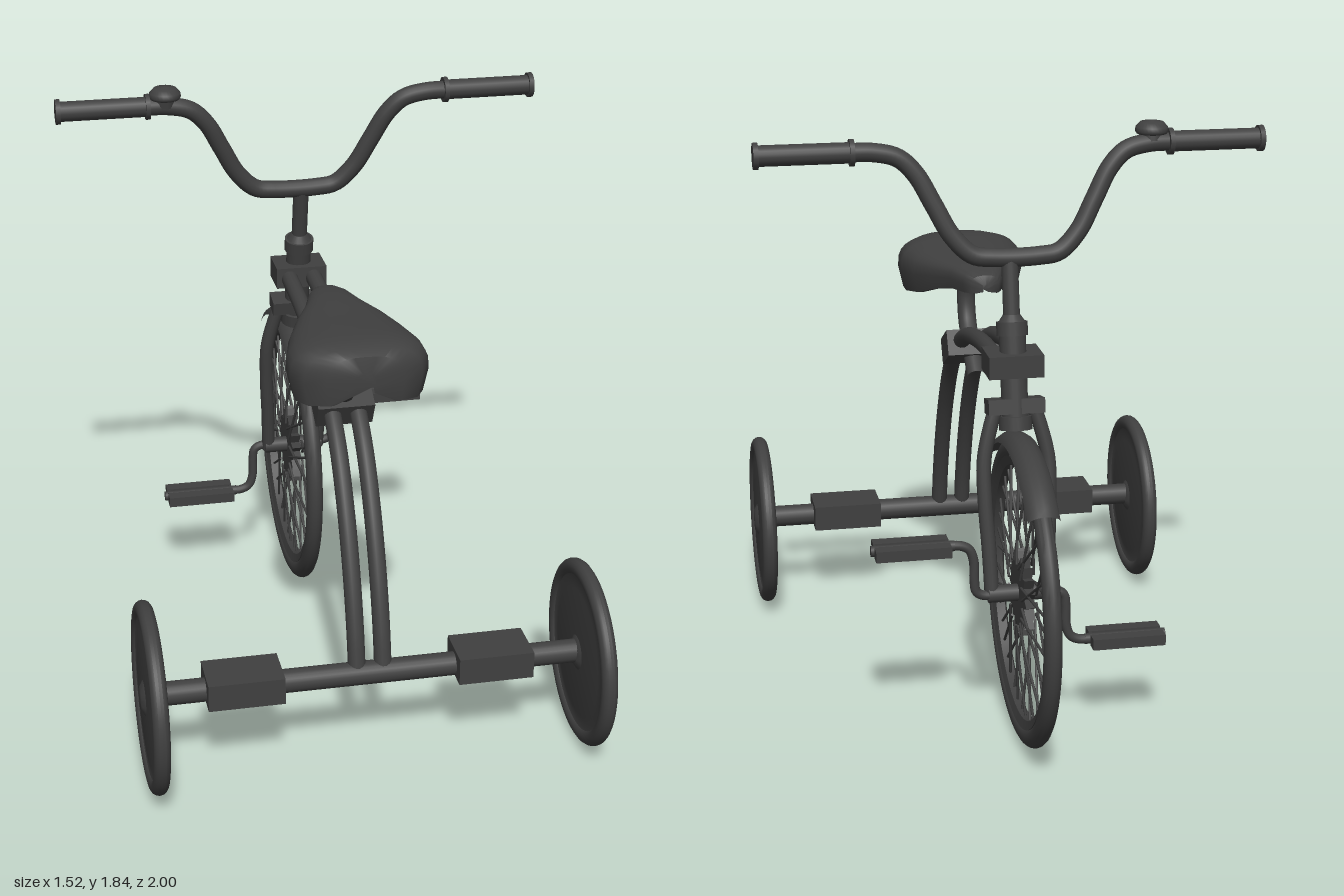
import * as THREE from 'three';
import { toCreasedNormals } from 'three/addons/utils/BufferGeometryUtils.js';

const V = (x, y, z) => new THREE.Vector3(x, y, z);
const MID = 0.02; // frame centre line
const dark = new THREE.MeshStandardMaterial({ color: 0x404040 });
const darkThin = new THREE.MeshStandardMaterial({ color: 0x404040, side: THREE.DoubleSide });

export function createModel() {
  const root = new THREE.Group();
  const add = (name, geo, pos = [0, 0, 0], parent = root, mat = dark) => {
    const m = new THREE.Mesh(geo, mat);
    m.name = name;
    m.position.set(...pos);
    parent.add(m);
    return m;
  };
  // straight round bar between two points
  const rod = (name, a, b, r, parent = root, r2 = r, sides = 20) => {
    const d = b.clone().sub(a);
    const m = add(name, new THREE.CylinderGeometry(r2, r, d.length(), sides), a.clone().add(b).multiplyScalar(0.5).toArray(), parent);
    m.quaternion.setFromUnitVectors(V(0, 1, 0), d.normalize());
    return m;
  };
  // bent tube through points
  const tube = (name, pts, r, segs = 48, parent = root) =>
    add(name, new THREE.TubeGeometry(new THREE.CatmullRomCurve3(pts, false, 'centripetal'), segs, r, 14), [0, 0, 0], parent);
  // profile of [radius, x offset] spun round the x axis
  const spun = (pts, segs = 56, start = 0, sweep = Math.PI * 2) => toCreasedNormals(
    new THREE.LatheGeometry(pts.map(([r, x]) => new THREE.Vector2(r, x)), segs, start, sweep).rotateZ(Math.PI / 2), 0.6);
  // closed elliptical tyre section
  const oval = (R, a, b, n = 16) => Array.from({ length: n + 1 }, (_, i) => {
    const t = i / n * Math.PI * 2;
    return [R + a * Math.cos(t), b * Math.sin(t)];
  });

  // rear wheels: tyre, pressed disc and domed hub
  for (const [side, x] of [['left', 0.685], ['right', -0.643]]) {
    const wheel = new THREE.Group();
    wheel.name = side + 'RearWheel';
    wheel.position.set(x, 0.288, 0.712);
    root.add(wheel);
    add('tyre', spun(oval(0.262, 0.026, 0.025)), [0, 0, 0], wheel);
    add('disc', spun([[0, -0.02], [0.2, -0.016], [0.235, -0.012], [0.25, -0.018], [0.25, 0.018],
      [0.235, 0.012], [0.2, 0.016], [0, 0.02]]), [0, 0, 0], wheel);
    add('hubCap', spun([[0, -0.032], [0.035, -0.03], [0.055, -0.018], [0.055, 0.018], [0.035, 0.03], [0, 0.032]], 28), [0, 0, 0], wheel);
  }

  // rear axle and the two steps on it
  rod('rearAxle', V(-0.64, 0.295, 0.712), V(0.68, 0.295, 0.712), 0.036);
  for (const [side, x] of [['left', 0.395], ['right', -0.365]])
    add(side + 'Step', new THREE.BoxGeometry(0.23, 0.085, 0.15), [x, 0.303, 0.708]);

  // twin curved frame tubes
  const framePath = [[0.3, 0.712], [0.42, 0.685], [0.575, 0.632], [0.75, 0.545], [0.9, 0.435], [1.005, 0.3],
    [1.08, 0.145], [1.12, -0.015], [1.143, -0.18], [1.155, -0.4]];
  for (const s of [-1, 1])
    tube(s > 0 ? 'leftFrameTube' : 'rightFrameTube', framePath.map(([y, z]) => V(MID + s * 0.04, y, z)), 0.027, 64);

  // seat: closed sections along z, hollow underneath [z, halfWidth, top, bottom]
  const sections = [[0.06, 0.01, 1.27, 1.245], [0.075, 0.045, 1.295, 1.237], [0.12, 0.065, 1.305, 1.232],
    [0.2, 0.09, 1.31, 1.225], [0.3, 0.14, 1.313, 1.2], [0.4, 0.18, 1.316, 1.165], [0.5, 0.205, 1.322, 1.147],
    [0.57, 0.205, 1.323, 1.145], [0.62, 0.175, 1.316, 1.148], [0.65, 0.115, 1.3, 1.155], [0.66, 0.03, 1.25, 1.19]];
  const verts = [], idx = [], top = 16, ring = top + 7;
  for (const [z, w, t, b] of sections) {
    const m = b + (t - b) * 0.4;
    for (let k = 0; k <= top; k++) {
      const c = Math.cos(k / top * Math.PI), s = Math.sin(k / top * Math.PI);
      verts.push(0.012 + w * Math.sign(c) * Math.abs(c) ** 0.75, m + (t - m) * Math.max(s, 0) ** 0.65, z);
    }
    for (const [fx, y] of [[-0.92, b], [-0.8, b], [-0.7, m], [0.7, m], [0.8, b], [0.92, b]]) verts.push(0.012 + fx * w, y, z);
  }
  for (let i = 0; i < sections.length - 1; i++)
    for (let j = 0; j < ring; j++) {
      const a = i * ring + j, b = i * ring + (j + 1) % ring;
      idx.push(a, b, a + ring, b, b + ring, a + ring);
    }
  for (let j = 1; j < ring - 1; j++) {
    const e = (sections.length - 1) * ring;
    idx.push(0, j + 1, j, e, e + j, e + j + 1);
  }
  const seatGeo = new THREE.BufferGeometry();
  seatGeo.setAttribute('position', new THREE.Float32BufferAttribute(verts, 3));
  seatGeo.setIndex(idx);
  add('seat', toCreasedNormals(seatGeo, 0.8), [0, 0, 0], root, darkThin);

  // seat post and its clamp on the frame
  tube('seatPost', [V(MID, 1.25, 0.36), V(MID, 1.15, 0.375), V(MID, 1.08, 0.355), V(MID, 1.02, 0.3), V(MID, 0.93, 0.19)], 0.03);
  add('seatClamp', new THREE.BoxGeometry(0.175, 0.085, 0.13), [MID, 1.005, 0.285]).rotation.x = 0.5;

  // steering head: stem, collars, bracket and crown along the raked axis
  const rake = (y, x = MID) => V(x, y, -0.364 + (y - 1.45) * 0.2);
  rod('stem', rake(1.0), rake(1.47), 0.025);
  rod('headTube', rake(1.0), rake(1.24), 0.04);
  rod('headCollar', rake(1.235), rake(1.275), 0.047);
  rod('headCone', rake(1.275), rake(1.295), 0.04, root, 0.026);
  add('headBracket', new THREE.BoxGeometry(0.165, 0.068, 0.125), [MID, 1.155, -0.415]);
  rod('lowerCollar', rake(0.96), rake(1.0), 0.05);
  add('forkCrown', new THREE.BoxGeometry(0.17, 0.045, 0.075), rake(1.03).toArray()).rotation.x = 0.2;

  // fork legs
  for (const s of [-1, 1])
    tube(s > 0 ? 'leftForkLeg' : 'rightForkLeg', [[0.055, 1.03, -0.445], [0.075, 0.97, -0.455], [0.097, 0.87, -0.47],
      [0.098, 0.75, -0.49], [0.09, 0.6, -0.513], [0.085, 0.455, -0.535]].map(([x, y, z]) => V(MID + s * x, y, z)), 0.022);

  // handlebar with grips
  const barZ = y => -0.364 + (y - 1.45) * 0.175;
  const half = [[0.07, 1.462], [0.13, 1.472], [0.19, 1.53], [0.24, 1.62], [0.29, 1.71], [0.34, 1.758], [0.41, 1.776], [0.5, 1.778]];
  const barPts = [...half.slice().reverse().map(([x, y]) => V(-x, y, barZ(y))), ...half.map(([x, y]) => V(x, y, barZ(y)))];
  tube('handlebar', barPts, 0.028, 96);
  for (const s of [-1, 1]) {
    const grip = new THREE.Group();
    grip.name = s > 0 ? 'leftGrip' : 'rightGrip';
    root.add(grip);
    for (const [name, x0, x1, r] of [['sleeve', 0.48, 0.755, 0.031], ['innerFlange', 0.468, 0.482, 0.04], ['endFlange', 0.745, 0.76, 0.039]])
      rod(name, V(s * x0, 1.778, -0.307), V(s * x1, 1.778, -0.307), r, grip);
  }

  // bell
  rod('bellBase', V(-0.42, 1.78, -0.305), V(-0.42, 1.81, -0.3), 0.03);
  add('bell', new THREE.LatheGeometry([[0, 0], [0.045, 0], [0.05, 0.008], [0.048, 0.02], [0.035, 0.034], [0, 0.04]]
    .map(p => new THREE.Vector2(...p)), 28), [-0.42, 1.803, -0.3]);

  // front wheel: tyre, rim, toothed hub plate, spokes
  const front = new THREE.Group();
  front.name = 'frontWheel';
  front.position.set(0.012, 0.468, -0.533);
  root.add(front);
  add('tyre', spun(oval(0.435, 0.032, 0.027), 72), [0, 0, 0], front);
  add('rim', spun([[0.385, -0.014], [0.412, -0.022], [0.412, 0.022], [0.385, 0.014], [0.385, -0.014]], 72), [0, 0, 0], front);
  const star = new THREE.Shape(Array.from({ length: 40 }, (_, i) => {
    const a = i / 40 * Math.PI * 2, r = i % 2 ? 0.1 : 0.132;
    return new THREE.Vector2(r * Math.cos(a), r * Math.sin(a));
  }));
  add('hubPlate', new THREE.ExtrudeGeometry(star, { depth: 0.03, bevelEnabled: false }).translate(0, 0, -0.015).rotateY(Math.PI / 2), [0, 0, 0], front);
  rod('hub', V(-0.09, 0, 0), V(0.105, 0, 0), 0.026, front);
  const polar = (x, r, a) => V(x, r * Math.sin(a), r * Math.cos(a));
  for (let i = 0; i < 40; i++) {
    const a = i / 40 * Math.PI * 2, twist = i % 4 < 2 ? 0.35 : -0.35;
    rod('spoke', polar(i % 2 ? 0.022 : -0.022, 0.1, a + twist), polar(0, 0.395, a), 0.0042, front, 0.0042, 6);
  }

  // mudguard: arched strip over the tyre
  add('mudguard', spun([[0.452, -0.048], [0.47, -0.04], [0.483, -0.02], [0.487, 0], [0.483, 0.02], [0.47, 0.04], [0.452, 0.048]],
    32, 0.75, 1.56), front.position.toArray(), root, darkThin);

  // cranks and pedals: left one up, right one down
  for (const s of [-1, 1]) {
    const side = s > 0 ? 'left' : 'right';
    const pedal = new THREE.Group();
    pedal.name = side + 'Pedal';
    pedal.position.set(MID, 0.468, -0.54);
    root.add(pedal);
    tube(side + 'Crank', [[0.06, 0], [0.115, 0.002], [0.134, 0.015], [0.14, 0.05], [0.142, 0.115], [0.155, 0.15], [0.18, 0.164], [0.24, 0.166]]
      .map(([x, y]) => V(s * x, s * y, 0)), 0.0145, 40, pedal);
    rod('spindle', V(s * 0.2, s * 0.166, 0), V(s * 0.45, s * 0.166, 0), 0.016, pedal);
    for (const z of [-0.034, 0.034])
      add('tread', new THREE.BoxGeometry(0.225, 0.034, 0.042), [s * 0.328, s * 0.166, z], pedal);
    for (const x of [0.222, 0.434])
      add('treadPlate', new THREE.BoxGeometry(0.008, 0.026, 0.08), [s * x, s * 0.166, 0], pedal);
  }
  return root;
}
